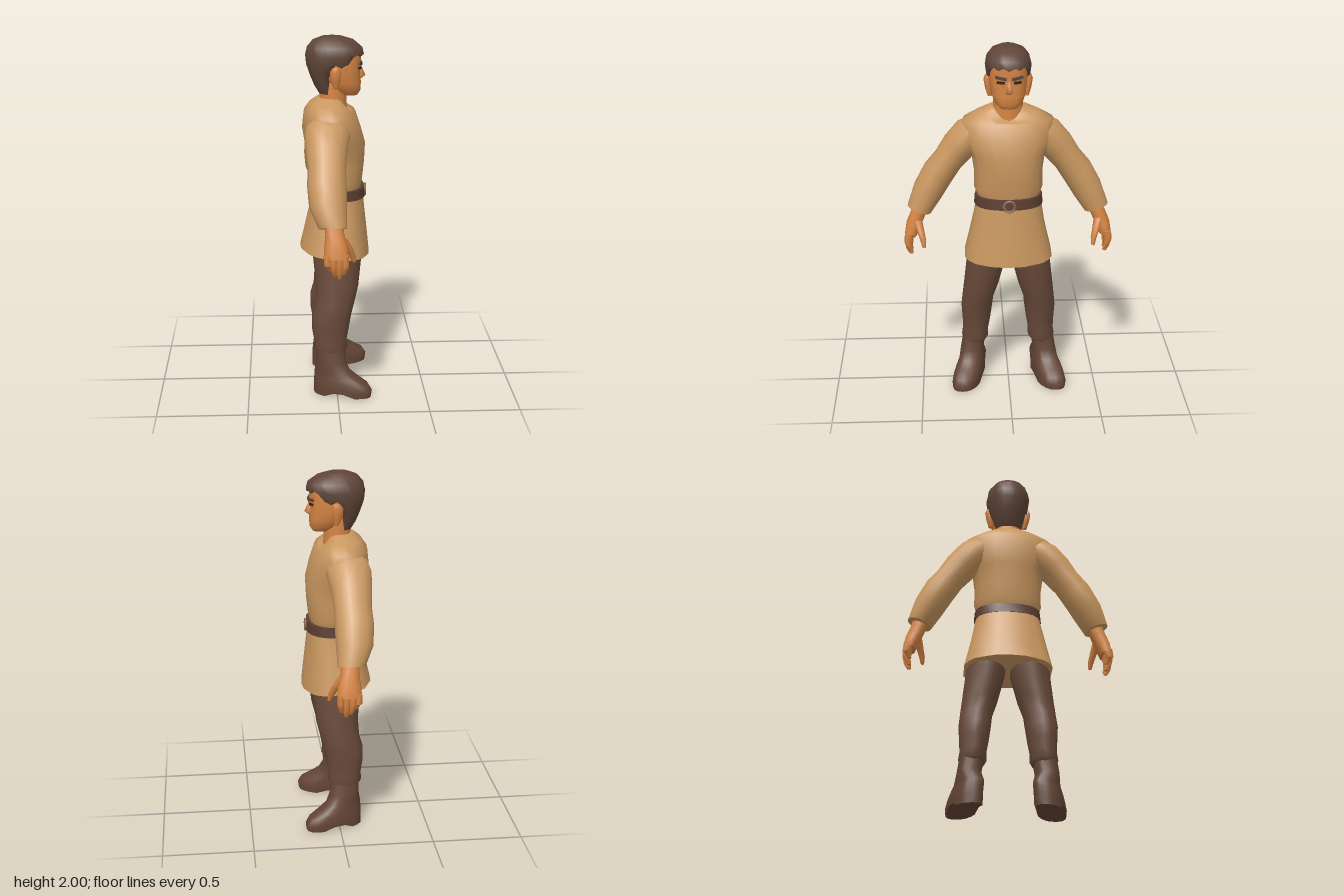
import * as THREE from 'three';

const mat = (name, color) => Object.assign(new THREE.MeshStandardMaterial({ color }), { name });

// horizontal ring from its back and front x, height, half width and side offset
const ring = (x0, x1, y, rz, z = 0) => [(x0 + x1) / 2, y, z, (x1 - x0) / 2, rz, 0];

// closed skin over rings [cx, cy, cz, frontRadius, sideRadius, tilt]; side mirrors z
function loft(name, material, rings, { seg = 14, p = 1, side = 1, warp } = {}) {
  const pos = [], idx = [], n = rings.length;
  const pw = v => Math.sign(v) * Math.abs(v) ** p;
  const addRing = ([cx, cy, cz, rx, rs, t = 0], k) => {
    for (let i = 0; i < seg; i++) {
      const a = i / seg * Math.PI * 2, s = pw(Math.sin(a)) * rs;
      const v = new THREE.Vector3(cx + pw(Math.cos(a)) * rx, cy + s * Math.sin(t), cz + s * Math.cos(t));
      if (warp) warp(v, a, k, i);
      pos.push(v.x, v.y, v.z * side);
    }
  };
  rings.forEach(addRing);
  for (let k = 0; k < n - 1; k++) for (let i = 0; i < seg; i++) {
    const j = (i + 1) % seg, a = k * seg + i, b = k * seg + j;
    idx.push(a, a + seg, b, b, a + seg, b + seg);
  }
  for (const k of [0, n - 1]) {
    const start = pos.length / 3;
    addRing(rings[k], k);
    const c = [0, 0, 0];
    for (let i = 0; i < seg; i++) for (let d = 0; d < 3; d++) c[d] += pos[(start + i) * 3 + d] / seg;
    pos.push(...c);
    for (let i = 0; i < seg; i++) {
      const a = start + i, b = start + (i + 1) % seg;
      idx.push(...(k === 0 ? [a, b, start + seg] : [b, a, start + seg]));
    }
  }
  // face outwards whatever the ring order or mirroring
  const P = i => new THREE.Vector3().fromArray(pos, i * 3);
  let vol = 0;
  for (let i = 0; i < idx.length; i += 3) vol += P(idx[i]).dot(P(idx[i + 1]).cross(P(idx[i + 2])));
  if (vol < 0) idx.reverse();
  const g = new THREE.BufferGeometry();
  g.setAttribute('position', new THREE.Float32BufferAttribute(pos, 3));
  g.setIndex(idx);
  g.computeVertexNormals();
  const m = new THREE.Mesh(g, material);
  m.name = name;
  return m;
}

export function createModel() {
  const root = new THREE.Group();
  root.name = 'villager';
  const tunic = mat('tan cloth', 0xc9975f), skin = mat('skin', 0xd58443), trousers = mat('brown wool', 0x694a3a);
  const boots = mat('boot leather', 0x634536), hair = mat('dark brown hair', 0x5f4538);
  const leather = mat('belt leather', 0x5a3d30), metal = mat('buckle', 0x8a6a4c), dark = mat('eye dark', 0x33231c);
  const add = (...m) => root.add(...m);

  // tunic: body with a dipped neckline, then a flared skirt with a slanting hem
  add(loft('tunicBody', tunic, [
    ring(-0.1, 0.06, 1.67, 0.095), ring(-0.145, 0.085, 1.635, 0.17), ring(-0.175, 0.11, 1.59, 0.25),
    ring(-0.185, 0.14, 1.5, 0.255), ring(-0.17, 0.165, 1.41, 0.205), ring(-0.145, 0.16, 1.3, 0.19),
    ring(-0.13, 0.15, 1.21, 0.192), ring(-0.11, 0.14, 1.16, 0.172)],
  { seg: 20, p: 0.9, warp: (v, a, k) => {
    if (k < 2) v.y -= Math.max(0, Math.cos(a)) ** 3 * (k ? 0.045 : 0.07);
  } }));
  add(loft('tunicSkirt', tunic, [
    ring(-0.115, 0.15, 1.15, 0.178), ring(-0.135, 0.158, 1.08, 0.19), ring(-0.16, 0.168, 0.99, 0.21),
    ring(-0.18, 0.178, 0.9, 0.23), ring(-0.2, 0.19, 0.8, 0.253)],
  { seg: 24, p: 0.85, warp: (v, a, k, i) => {
    if (k === 4) v.y -= 0.09 * v.x;
    if (k > 1 && i % 4 === 2) { v.x *= 0.97; v.z *= 0.97; }
  } }));

  // belt and buckle
  add(loft('belt', leather, [ring(-0.124, 0.161, 1.17, 0.187), ring(-0.13, 0.166, 1.115, 0.192)], { seg: 20, p: 0.88 }));
  const buckle = new THREE.Mesh(new THREE.TorusGeometry(0.032, 0.007, 6, 8), metal);
  buckle.name = 'buckle';
  buckle.rotation.y = Math.PI / 2;
  buckle.position.set(0.165, 1.138, 0);
  add(buckle);

  // neck and head
  add(loft('neck', skin, [ring(-0.09, 0.065, 1.57, 0.085), ring(-0.09, 0.062, 1.64, 0.085), ring(-0.08, 0.06, 1.76, 0.08)]));
  add(loft('head', skin, [
    ring(0.03, 0.122, 1.68, 0.045), ring(-0.02, 0.138, 1.705, 0.075), ring(-0.06, 0.14, 1.75, 0.093),
    ring(-0.09, 0.136, 1.8, 0.1), ring(-0.1, 0.14, 1.86, 0.105), ring(-0.1, 0.14, 1.94, 0.1)],
  { seg: 16, p: 0.8 }));
  add(loft('nose', skin, [
    ring(0.11, 0.136, 1.852, 0.01), ring(0.11, 0.152, 1.815, 0.015),
    ring(0.11, 0.165, 1.785, 0.022), ring(0.11, 0.142, 1.768, 0.018)], { seg: 6 }));

  // hair cap, cut along a ragged hairline
  add(loft('hair', hair, [
    ring(-0.075, 0.035, 2, 0.045), ring(-0.125, 0.1, 1.98, 0.09), ring(-0.155, 0.148, 1.945, 0.118),
    ring(-0.165, 0.156, 1.9, 0.126), ring(-0.16, 0.145, 1.85, 0.12), ring(-0.14, 0.13, 1.79, 0.11),
    ring(-0.115, 0.11, 1.73, 0.096), ring(-0.09, 0.08, 1.69, 0.08)],
  { seg: 28, p: 0.9, warp: (v, a, k, i) => {
    const jag = i % 2 ? 0.018 : 0;
    const line = v.x < -0.035 ? 1.69 : v.x < 0.07 ? 1.84 + jag : 1.895 + jag;
    v.y = Math.max(v.y, line);
    if (k === 2 && i % 3 === 0) { v.x *= 0.95; v.z *= 0.95; }
  } }));

  for (const side of [1, -1]) {
    const g = new THREE.Group();
    g.name = side > 0 ? 'rightHandSide' : 'leftHandSide';
    const part = (name, m, rings, opt = {}) => g.add(loft(name, m, rings, { side, ...opt }));

    // ear, eye and brow
    part('ear', skin, [
      ring(-0.01, 0.012, 1.725, 0.012, 0.1), ring(-0.03, 0.022, 1.77, 0.018, 0.108),
      ring(-0.035, 0.027, 1.82, 0.02, 0.114), ring(-0.02, 0.015, 1.845, 0.012, 0.112)], { seg: 8 });
    const plate = (name, m, x, y, z, h, w, tilt) => {
      const b = new THREE.Mesh(new THREE.BoxGeometry(0.009, h, w), m);
      b.name = name;
      b.rotation.set(-side * tilt, side * -0.32, 0, 'YXZ');
      b.position.set(x, y, side * z);
      g.add(b);
    };
    plate('brow', hair, 0.134, 1.856, 0.045, 0.016, 0.062, 0.15);
    plate('eye', dark, 0.131, 1.832, 0.045, 0.014, 0.042, 0.05);

    // sleeve
    part('sleeve', tunic, [
      [-0.05, 1.53, 0.16, 0.115, 0.085, 0.8], [-0.052, 1.495, 0.205, 0.125, 0.1, 0.72],
      [-0.06, 1.42, 0.275, 0.112, 0.094, 0.65], [-0.06, 1.34, 0.335, 0.102, 0.084, 0.6],
      [-0.062, 1.265, 0.39, 0.105, 0.09, 0.6], [-0.058, 1.16, 0.45, 0.1, 0.086, 0.5],
      [-0.035, 1.06, 0.5, 0.074, 0.07, 0.35]]);

    // hand with four fingers and a thumb
    part('palm', skin, [
      [-0.03, 1.09, 0.487, 0.05, 0.046, 0.35], [-0.025, 1.03, 0.51, 0.05, 0.042, 0.3],
      [-0.02, 0.97, 0.535, 0.062, 0.042, 0.2], [-0.02, 0.91, 0.552, 0.066, 0.034, 0.1]], { seg: 10, p: 0.85 });
    [0.845, 0.815, 0.8, 0.825].forEach((tip, i) => {
      const x = -0.067 + i * 0.032;
      part('finger', skin, [
        [x, 0.93, 0.555, 0.019, 0.028], [x, 0.88, 0.566, 0.019, 0.023],
        [x * 0.9, tip + 0.03, 0.561, 0.017, 0.019], [x * 0.8, tip, 0.55, 0.01, 0.012]], { seg: 7 });
    });
    part('thumb', skin, [
      [0.01, 1.01, 0.51, 0.028, 0.025], [0.048, 0.95, 0.493, 0.024, 0.021],
      [0.068, 0.905, 0.48, 0.019, 0.017], [0.08, 0.868, 0.476, 0.01, 0.01]], { seg: 7 });

    // trouser leg, gathered over the boot
    part('trouserLeg', trousers, [
      ring(-0.13, 0.145, 0.9, 0.11, 0.115), ring(-0.13, 0.14, 0.78, 0.112, 0.125),
      ring(-0.115, 0.122, 0.62, 0.1, 0.155), ring(-0.12, 0.1, 0.53, 0.09, 0.175),
      ring(-0.14, 0.082, 0.46, 0.09, 0.182), ring(-0.14, 0.068, 0.38, 0.082, 0.185),
      ring(-0.128, 0.055, 0.31, 0.074, 0.19), ring(-0.13, 0.06, 0.265, 0.078, 0.193),
      ring(-0.11, 0.045, 0.24, 0.065, 0.194)]);

    // boot turned outwards, with an arch in front of the heel
    part('boot', boots, [
      ring(-0.115, 0.045, 0.28, 0.066, 0.196), ring(-0.115, 0.05, 0.19, 0.066, 0.21),
      ring(-0.125, 0.075, 0.135, 0.072, 0.215), ring(-0.128, 0.125, 0.1, 0.077, 0.22),
      ring(-0.13, 0.175, 0.068, 0.08, 0.223), ring(-0.13, 0.195, 0.035, 0.083, 0.225),
      ring(-0.13, 0.19, 0, 0.08, 0.225)],
    { seg: 20, p: 0.8, warp: (v, a, k) => {
      if (k > 1) v.z += 0.25 * v.x;
      if (k === 6 && v.x > -0.04 && v.x < 0.07) v.y = 0.022;
    } });
    root.add(g);
  }
  return root;
}
